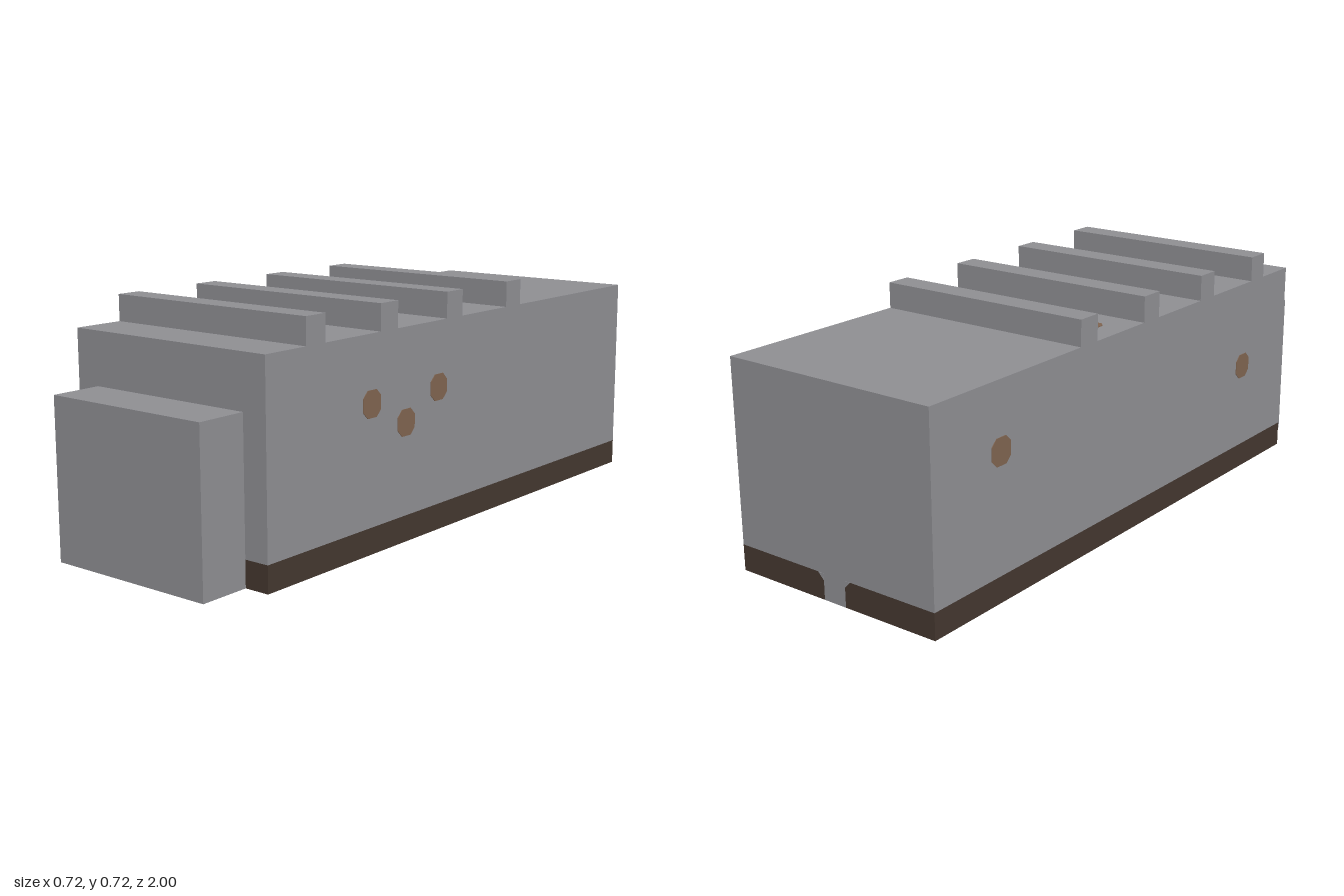
import * as THREE from 'three';

export function createModel() {
  const model = new THREE.Group();
  const mat = (name, color) => {
    const m = new THREE.MeshStandardMaterial({ color });
    m.name = name;
    return m;
  };
  const grey = mat('grey', 0x8e8e92);
  const dark = mat('dark brown', 0x44372f);
  const tan = mat('tan', 0x7f6450);

  const add = (name, geometry, material) => {
    const mesh = new THREE.Mesh(geometry, material);
    mesh.name = name;
    model.add(mesh);
    return mesh;
  };
  const box = (name, w, y0, y1, z0, z1) =>
    add(name, new THREE.BoxGeometry(w, y1 - y0, z1 - z0), grey)
      .position.set(0, (y0 + y1) / 2, (z0 + z1) / 2);
  const extrude = (points, depth) => new THREE.ExtrudeGeometry(
    new THREE.Shape(points.map(([x, y]) => new THREE.Vector2(x, y))),
    { depth, bevelEnabled: false });
  // Footprint given as [x, z], raised from the ground
  const slab = (points, height) =>
    extrude(points.map(([x, z]) => [x, -z]), height).rotateX(-Math.PI / 2);

  // Main blocks
  box('body', 0.72, 0.08, 0.64, -1, 0.84);
  box('snout', 0.56, 0, 0.48, 0.84, 1);

  // Ridges across the back
  for (const z of [0.64, 0.32, 0, -0.32]) box('ridge', 0.72, 0.64, 0.72, z - 0.04, z + 0.04);

  // Dark base halves around a grey T-shaped belly
  const c = 0.02;
  const inner = [[0.04, -1], [0.04, 0.76 - c], [0.04 + c, 0.76], [0.28 - c, 0.76], [0.28, 0.76 + c], [0.28, 0.84]];
  for (const s of [1, -1]) {
    const half = [...inner, [0.36, 0.84], [0.36, -1]].map(([x, z]) => [s * x, z]);
    add(s > 0 ? 'leftBase' : 'rightBase', slab(half, 0.08), dark);
    // Cut upper corner of the base beside the rear gap
    add('rearGapCorner', extrude([[s * 0.04, 0.08 - c], [s * (0.04 + c), 0.08], [s * 0.04, 0.08]], 0.002), grey)
      .position.z = -1.001;
  }
  const mirrored = inner.map(([x, z]) => [-x, z]).reverse();
  add('belly', slab([...inner, ...mirrored], 0.08), grey);

  // Spots on the flanks: [side, y, z]
  const r = 0.04, k = 0.02;
  const spot = [[-r, -k], [-k, -r], [k, -r], [r, -k], [r, k], [k, r], [-k, r], [-r, k]];
  for (const [side, y, z] of [[1, 0.44, 0.4], [1, 0.36, 0.24], [1, 0.44, 0.08], [-1, 0.44, -0.72], [-1, 0.36, 0.56]]) {
    const mesh = add('spot', extrude(spot, 0.003), tan);
    mesh.rotation.y = side * Math.PI / 2;
    mesh.position.set(side * 0.359, y, z);
  }

  // Long spot on top, against the rear ridge
  add('topSpot', slab([[-0.28, -0.28], [-0.2, -0.28], [-0.2, -0.14], [-0.215, -0.125], [-0.265, -0.125], [-0.28, -0.14]], 0.003), tan)
    .position.y = 0.639;

  return model;
}
